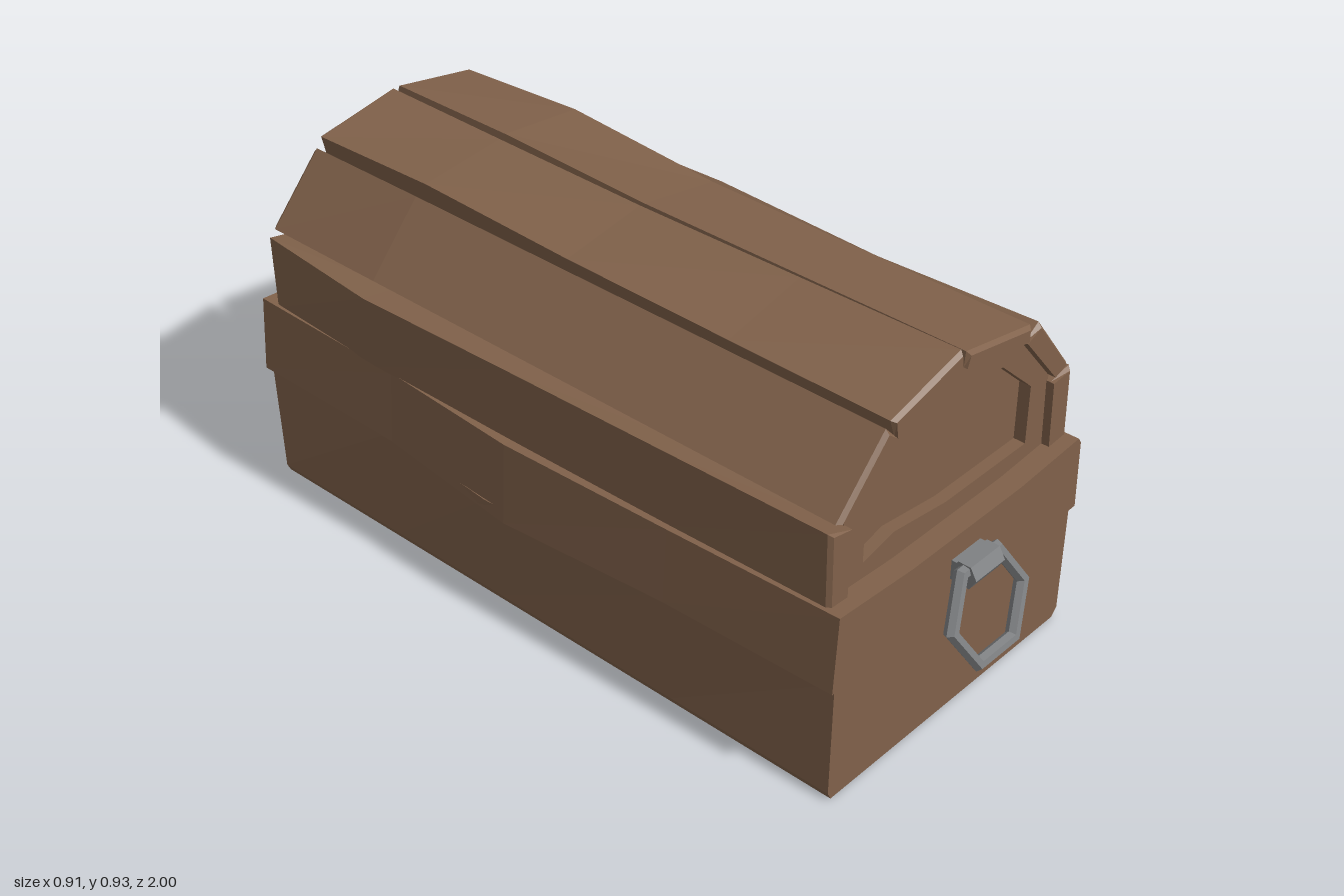
import * as THREE from 'three';

const wood = new THREE.MeshStandardMaterial({ color: 0x80614a, flatShading: true });
wood.name = 'brown wood';
const iron = new THREE.MeshStandardMaterial({ color: 0x7f8183, flatShading: true });
iron.name = 'grey iron';

// Joins counter-clockwise [x, y] (or [x, y, z]) rings, ordered front to back, into a closed solid
function loft(name, sections) {
  const pos = [];
  const at = (s, i) => {
    const p = s.pts[i % s.pts.length];
    return [p[0], p[1], p[2] ?? s.z];
  };
  const tri = (a, b, c) => pos.push(...a, ...b, ...c);
  const n = sections[0].pts.length;
  for (let k = 0; k < sections.length - 1; k++) {
    const f = sections[k], b = sections[k + 1];
    for (let i = 0; i < n; i++) {
      tri(at(f, i), at(b, i), at(b, i + 1));
      tri(at(f, i), at(b, i + 1), at(f, i + 1));
    }
  }
  const cap = (s, flip) => {
    const contour = s.pts.map(p => new THREE.Vector2(p[0], p[1]));
    for (const [a, b, c] of THREE.ShapeUtils.triangulateShape(contour, [])) {
      if (flip) tri(at(s, a), at(s, c), at(s, b));
      else tri(at(s, a), at(s, b), at(s, c));
    }
  };
  cap(sections[0], false);
  cap(sections[sections.length - 1], true);
  const g = new THREE.BufferGeometry();
  g.setAttribute('position', new THREE.Float32BufferAttribute(pos, 3));
  g.computeVertexNormals();
  const mesh = new THREE.Mesh(g, wood);
  mesh.name = name;
  return mesh;
}

// Lid plank: outer edge p to q, inner edge pi to qi, with uneven lift of each outer edge along z
function plank(name, p, q, pi, qi, liftP, liftQ) {
  const d = new THREE.Vector2(q[0] - p[0], q[1] - p[1]).normalize();
  const move = (pt, along, out) => [pt[0] + d.x * along + d.y * out, pt[1] + d.y * along - d.x * out];
  const section = (z, k, inset) => ({
    z, pts: [move(p, inset, liftP[k] - inset), move(q, -inset, liftQ[k] - inset), qi, pi]
  });
  return loft(name, [
    section(0.85, 0, 0.008), section(0.84, 0, 0), section(0.42, 1, 0), section(-0.04, 2, 0),
    section(-0.48, 3, 0), section(-0.84, 4, 0), section(-0.85, 4, 0.008)
  ]);
}

function shapeOf(points) {
  return new THREE.Shape(points.map(p => new THREE.Vector2(p[0], p[1])));
}

function extrude(name, shape, z0, z1) {
  const g = new THREE.ExtrudeGeometry(shape, { depth: z1 - z0, bevelEnabled: false });
  g.translate(0, 0, z0);
  const mesh = new THREE.Mesh(g, wood);
  mesh.name = name;
  return mesh;
}

export function createModel() {
  const chest = new THREE.Group();
  chest.name = 'chest';

  // Lower box: bevelled foot, hand-hewn bulging sides
  const boxRing = (z, l, r, w = 0, topZ = z) => ({
    z, pts: [[-0.405 + w, 0], [0.405 - w, 0], [0.422 - w, 0.02], [r, 0.32, topZ], [l, 0.32, topZ], [-0.415 + w, 0.02]]
  });
  chest.add(loft('lowerBox', [
    boxRing(0.875, -0.412, 0.425), boxRing(0.43, -0.425, 0.428), boxRing(-0.1, -0.455, 0.435),
    boxRing(-0.45, -0.425, 0.44), boxRing(-0.865, -0.412, 0.425, 0, -0.885)
  ]));

  // Rim band around the box, sagging slightly in the middle
  const bandRing = (z, l, r, top, bottom) => ({
    z, pts: [
      [l, bottom], [-0.18, bottom - 0.007], [0.2, bottom - 0.008], [r, bottom],
      [r - 0.006, top - 0.015], [r - 0.016, top], [0.2, top - 0.015], [-0.18, top - 0.015], [l + 0.012, top]
    ]
  });
  chest.add(loft('rimBand', [
    bandRing(0.885, -0.432, 0.432, 0.505, 0.312), bandRing(0.43, -0.443, 0.437, 0.498, 0.31),
    bandRing(-0.04, -0.457, 0.445, 0.496, 0.286), bandRing(-0.43, -0.435, 0.456, 0.498, 0.312),
    bandRing(-0.885, -0.432, 0.432, 0.505, 0.312)
  ]));

  // Lid core with a framed, recessed panel at both ends
  const arch = [[-0.36, 0.48], [0.36, 0.48], [0.35, 0.685], [0.225, 0.83], [0, 0.88], [-0.215, 0.825], [-0.35, 0.685]];
  const panel = [[-0.28, 0.535], [-0.18, 0.558], [0, 0.535], [0.285, 0.535], [0.285, 0.685],
    [0.17, 0.79], [0, 0.826], [-0.165, 0.79], [-0.28, 0.685]];
  chest.add(extrude('lidCore', shapeOf(arch), -0.8, 0.8));
  const frame = shapeOf(arch);
  frame.holes.push(new THREE.Path(panel.map(p => new THREE.Vector2(p[0], p[1]))));
  chest.add(extrude('frontPanelFrame', frame, 0.8, 0.83));
  chest.add(extrude('backPanelFrame', frame, -0.83, -0.8));

  // Six lid planks, from the model's left side over the top to its right side
  const flat = [0, 0, 0, 0, 0];
  chest.add(
    plank('leftSidePlank', [0.418, 0.495], [0.412, 0.683], [0.352, 0.495], [0.345, 0.67],
      [0, 0, 0.004, 0.004, 0], [0, 0.003, 0.005, 0, 0]),
    plank('leftSlopePlank', [0.398, 0.698], [0.272, 0.86], [0.348, 0.685], [0.225, 0.83],
      flat, [0, -0.012, 0, -0.012, 0]),
    plank('leftTopPlank', [0.24, 0.868], [0.012, 0.912], [0.23, 0.832], [0.008, 0.875],
      [0, 0, 0.004, 0.032, 0.015], [0, 0, 0, 0.013, 0.013]),
    plank('rightTopPlank', [-0.006, 0.925], [-0.232, 0.867], [-0.005, 0.875], [-0.215, 0.82],
      [0, -0.006, -0.012, -0.006, 0], [0, 0.005, 0.012, 0.032, 0.02]),
    plank('rightSlopePlank', [-0.245, 0.855], [-0.392, 0.7], [-0.215, 0.82], [-0.348, 0.685],
      [0, 0.012, 0.02, 0.035, 0.01], [0, 0.01, 0.02, 0.03, 0.008]),
    plank('rightSidePlank', [-0.415, 0.69], [-0.41, 0.495], [-0.348, 0.67], [-0.352, 0.495],
      [0, 0.01, 0.02, 0.032, 0], [0, 0.005, 0.01, 0.015, 0])
  );

  // Hexagonal ring handles hanging from iron clips at both ends
  for (const side of [1, -1]) {
    const handle = new THREE.Group();
    handle.name = side > 0 ? 'frontHandle' : 'backHandle';
    const ring = new THREE.Mesh(new THREE.TorusGeometry(0.126, 0.017, 6, 6), iron);
    ring.name = 'ring';
    ring.position.set(0.007, 0.318, side * 0.951);
    ring.rotation.x = -side * 0.29;
    const clip = new THREE.Mesh(new THREE.CylinderGeometry(0.033, 0.033, 0.102, 6), iron);
    clip.name = 'clip';
    clip.rotation.z = Math.PI / 2;
    clip.position.set(0.009, 0.41, side * 0.918);
    const plate = new THREE.Mesh(new THREE.BoxGeometry(0.102, 0.05, 0.04), iron);
    plate.name = 'clipMount';
    plate.position.set(0.009, 0.408, side * 0.893);
    handle.add(ring, clip, plate);
    chest.add(handle);
  }
  return chest;
}
